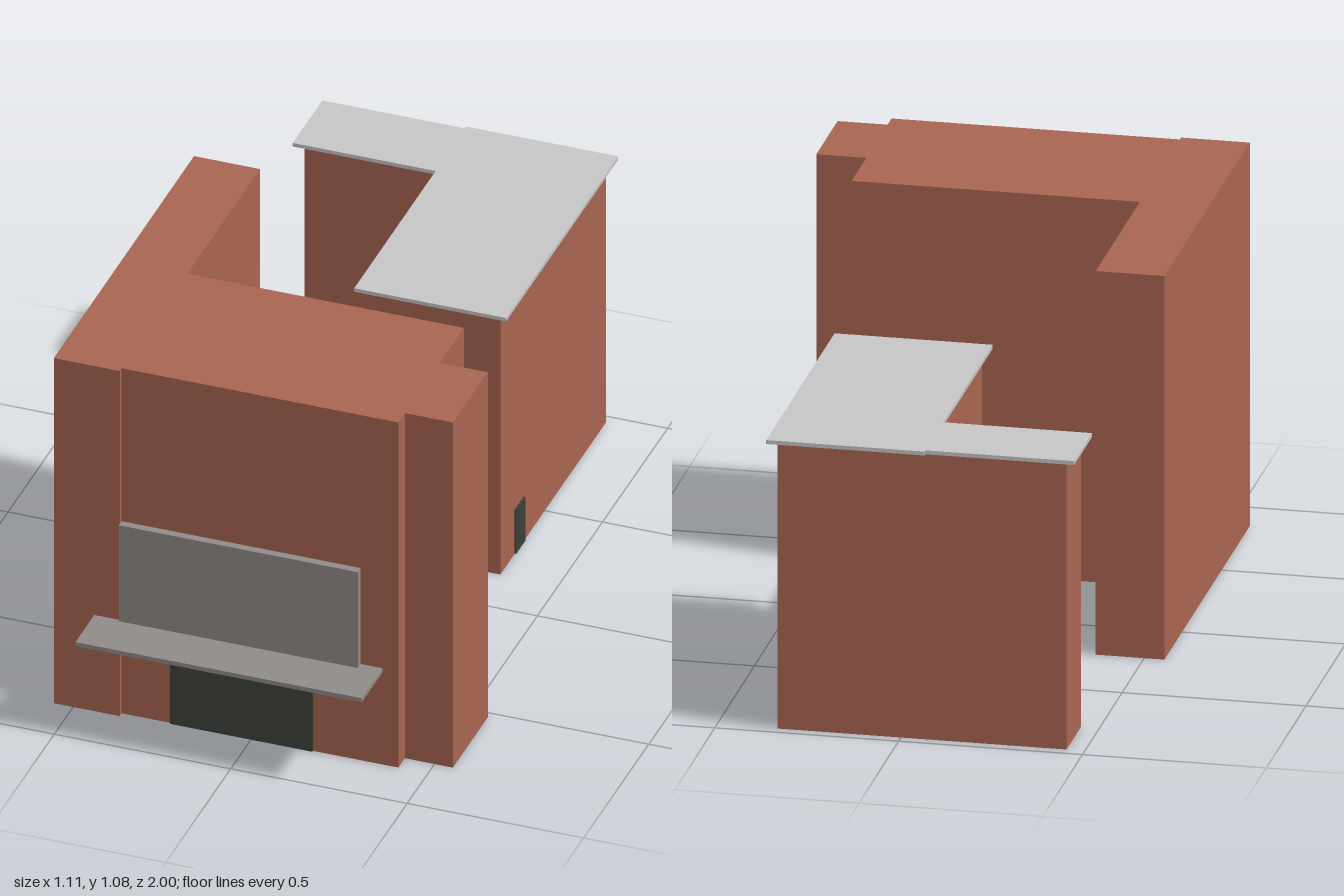
import * as THREE from 'three';

const mat = (name, color) => {
  const m = new THREE.MeshStandardMaterial({ color });
  m.name = name;
  return m;
};

export function createModel() {
  const model = new THREE.Group();
  const brick = mat('brick', 0xa86551);
  const roofGrey = mat('roof grey', 0xc6c6c6);
  const trimGrey = mat('trim grey', 0x8f8b88);
  const doorDark = mat('door dark', 0x3c413a);
  const teal = mat('dark teal', 0x233b41);

  const add = (name, geometry, material) => {
    const mesh = new THREE.Mesh(geometry, material);
    mesh.name = name;
    model.add(mesh);
  };

  // Floor plan given as [x, z] corners, raised from y0 to y1
  const prism = (name, plan, y0, y1, material) => {
    const shape = new THREE.Shape(plan.map(([x, z]) => new THREE.Vector2(x, -z)));
    const g = new THREE.ExtrudeGeometry(shape, { depth: y1 - y0, bevelEnabled: false });
    g.rotateX(-Math.PI / 2);
    g.translate(0, y0, 0);
    add(name, g, material);
  };

  // Box given by its limits on each axis
  const block = (name, [x0, x1], [y0, y1], [z0, z1], material) => {
    const g = new THREE.BoxGeometry(x1 - x0, y1 - y0, z1 - z0);
    g.translate((x0 + x1) / 2, (y0 + y1) / 2, (z0 + z1) / 2);
    add(name, g, material);
  };

  // Tall front building with a long side wing and a stepped end
  prism('frontBuilding', [
    [-0.555, 0.855], [-0.368, 0.855], [-0.368, 0.84], [0.416, 0.84],
    [0.416, 0.79], [0.552, 0.79], [0.552, 0.522], [0.416, 0.522],
    [0.416, 0.336], [-0.368, 0.336], [-0.368, -0.222], [-0.555, -0.222],
  ], 0, 1.083, brick);

  // Lower L-shaped rear building and its overhanging flat roof
  prism('rearBuilding', [
    [-0.045, -0.16], [0.336, -0.16], [0.336, -0.97], [-0.45, -0.97],
    [-0.45, -0.785], [-0.045, -0.785],
  ], 0, 0.812, brick);
  prism('rearRoof', [
    [-0.07, -0.138], [0.36, -0.138], [0.36, -1], [-0.07, -1],
    [-0.07, -0.99], [-0.475, -0.99], [-0.475, -0.763], [-0.07, -0.763],
  ], 0.812, 0.823, roofGrey);

  // Covered link between the buildings
  block('linkBridge', [0.01, 0.282], [0.2, 0.338], [-0.162, 0.338], teal);

  // Front entrance, wall panel and canopy
  block('frontDoor', [-0.228, 0.176], [0.002, 0.206], [0.838, 0.848], doorDark);
  block('frontPanel', [-0.368, 0.309], [0.267, 0.603], [0.838, 0.862], trimGrey);
  block('canopy', [-0.44, 0.371], [0.289, 0.302], [0.838, 1], trimGrey);

  // Small door on the side of the rear building
  block('sideDoor', [0.332, 0.341], [0.002, 0.14], [-0.338, -0.268], doorDark);

  return model;
}
